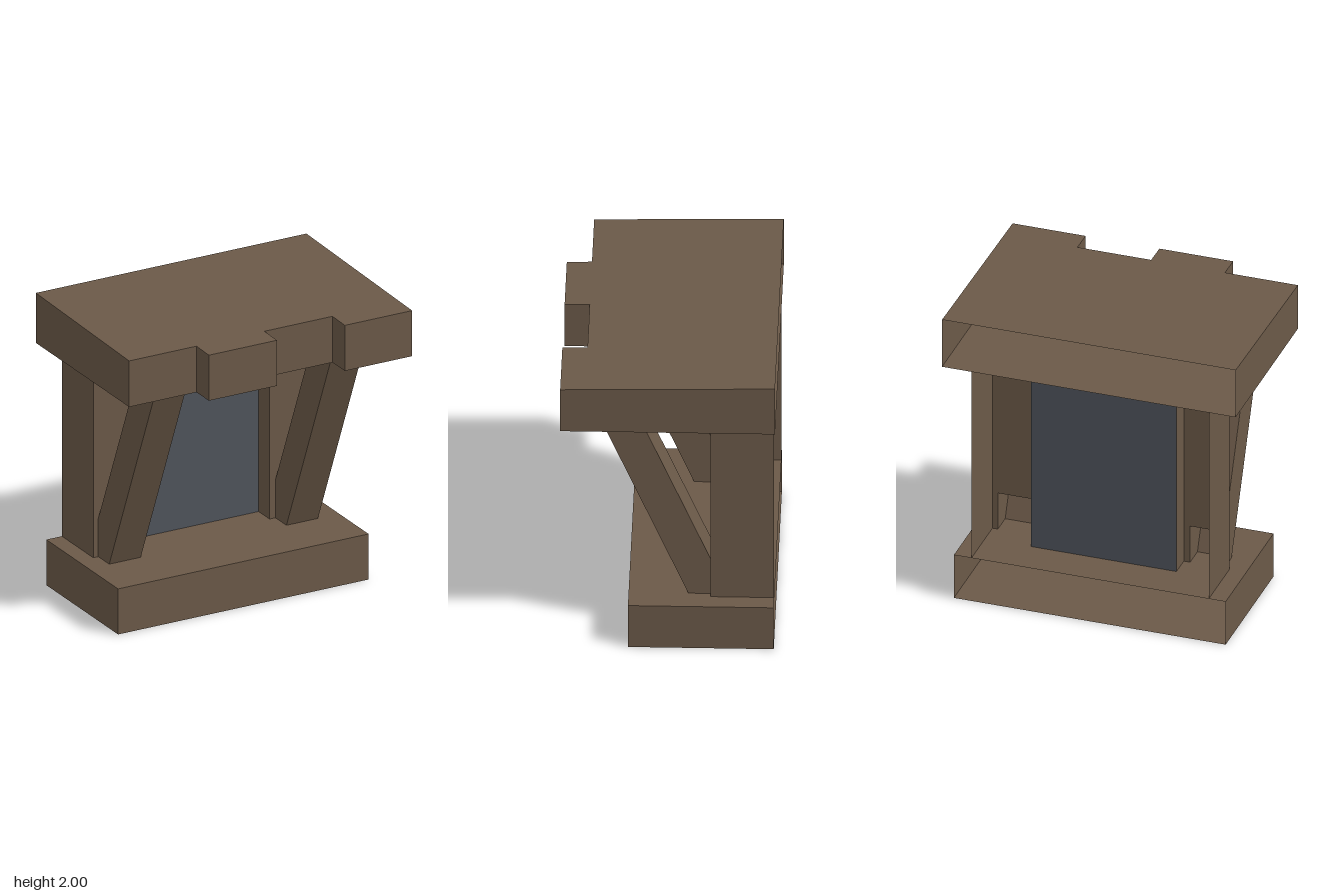
import * as THREE from 'three';
import { mergeGeometries } from 'three/addons/utils/BufferGeometryUtils.js';

const wood = new THREE.MeshStandardMaterial({ color: 0x6b5948, side: THREE.DoubleSide });
wood.name = 'brown wood';
const pane = new THREE.MeshStandardMaterial({ color: 0x4f545c, side: THREE.DoubleSide });
pane.name = 'grey blue pane';

// Flat polygon through 3D points, its front turned towards `out`
function sheet(points, out) {
  const pts = points.map((p) => new THREE.Vector3(...p));
  const dir = new THREE.Vector3(...out);
  const size = out.map(Math.abs);
  const drop = size.indexOf(Math.max(...size));
  const [u, v] = [['y', 'z'], ['x', 'z'], ['x', 'y']][drop];
  const tris = THREE.ShapeUtils.triangulateShape(pts.map((p) => new THREE.Vector2(p[u], p[v])), []);
  const corners = [];
  for (const [a, b, c] of tris) {
    const n = pts[b].clone().sub(pts[a]).cross(pts[c].clone().sub(pts[a]));
    corners.push(...(n.dot(dir) < 0 ? [pts[a], pts[c], pts[b]] : [pts[a], pts[b], pts[c]]));
  }
  const g = new THREE.BufferGeometry().setFromPoints(corners);
  g.computeVertexNormals();
  return g;
}

function part(name, sheets, material = wood) {
  const mesh = new THREE.Mesh(mergeGeometries(sheets), material);
  mesh.name = name;
  return mesh;
}

// Box-like shell over an [x, z] plan, open between its last and first point
function shell(plan, bottom, topAt) {
  const low = plan.map(([x, z]) => [x, bottom, z]);
  const high = plan.map(([x, z]) => [x, topAt(z), z]);
  const sheets = [sheet(low, [0, -1, 0]), sheet(high, [0, 1, 0])];
  for (let i = 0; i < plan.length - 1; i++) {
    const dx = plan[i + 1][0] - plan[i][0], dz = plan[i + 1][1] - plan[i][1];
    sheets.push(sheet([low[i], low[i + 1], high[i + 1], high[i]], [-dz, 0, dx]));
  }
  return sheets;
}

const FLOOR = 0.31, CEIL = 1.66, BACK = -0.665, FRONT = -0.265, GLASS = -0.405;

export function createModel() {
  const model = new THREE.Group();
  model.name = 'windowBay';

  // Sill and stepped canopy, both open at the back
  model.add(part('sill', shell(
    [[-0.905, BACK], [-0.905, 0.25], [0.9, 0.25], [0.9, BACK]], 0, () => FLOOR)));
  const tab = 0.673, step = 0.515;
  model.add(part('canopy', shell([
    [-0.975, -0.675], [-0.975, step], [-0.49, step], [-0.49, tab], [0, tab],
    [0, step], [0.49, step], [0.49, tab], [0.975, tab], [0.975, -0.675],
  ], CEIL, (z) => 1.985 - z * 0.0222)));

  // Window pane
  model.add(part('windowPane', [sheet([
    [-0.487, FLOOR, GLASS], [0.479, FLOOR, GLASS], [0.479, CEIL, GLASS], [-0.487, CEIL, GLASS],
  ], [0, 0, 1])], pane));

  for (const s of [1, -1]) {
    const side = s > 0 ? 'left' : 'right';
    const X = (x) => s * x - 0.005;
    const inner = 0.483, outer = 0.788, braceIn = 0.525, braceOut = 0.752, joint = 0.57;
    const upright = (x, z0, z1, out) => sheet(
      [[X(x), FLOOR, z0], [X(x), FLOOR, z1], [X(x), CEIL, z1], [X(x), CEIL, z0]], [out, 0, 0]);

    // Post: outer side, window reveal, and a front cut out where the brace joins
    model.add(part(side + 'Post', [
      upright(outer, BACK, FRONT, s),
      upright(inner, GLASS, FRONT, -s),
      sheet([
        [inner, FLOOR], [braceIn, FLOOR], [braceIn, joint], [braceOut, joint],
        [braceOut, FLOOR], [outer, FLOOR], [outer, CEIL], [inner, CEIL],
      ].map(([x, y]) => [X(x), y, FRONT]), [0, 0, 1]),
    ]));

    // Slanted hollow brace carrying the canopy
    const profile = [[0.45, CEIL], [0.2, CEIL], [FRONT, joint], [FRONT, FLOOR], [-0.125, FLOOR]];
    const at = (x) => profile.map(([z, y]) => [X(x), y, z]);
    const a = at(braceIn), b = at(braceOut);
    model.add(part(side + 'Brace', [
      sheet(a, [-s, 0, 0]),
      sheet(b, [s, 0, 0]),
      sheet([a[4], b[4], b[0], a[0]], [0, -0.4, 1]),
      sheet([a[1], b[1], b[2], a[2]], [0, 0.4, -1]),
    ]));
  }
  return model;
}
